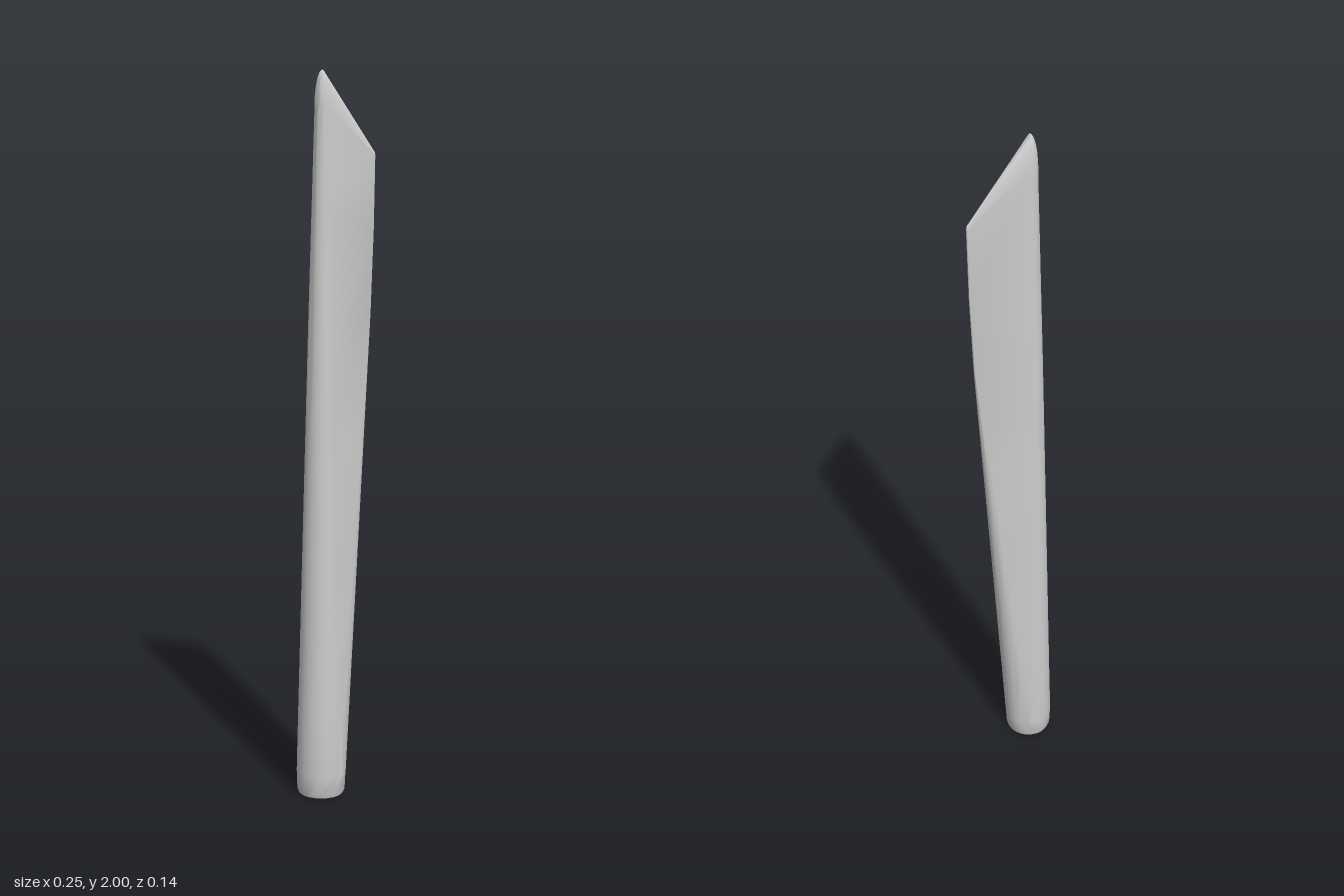
import * as THREE from 'three';
import { toCreasedNormals } from 'three/addons/utils/BufferGeometryUtils.js';

// Blade stations: nose height, radius, centre x; tail height, radius, outer edge x, z shift
const STATIONS = [
  [0, 0.063, -0.056, 0, 0.063, 0.007, 0],
  [0.01, 0.067, -0.056, 0.01, 0.067, 0.011, 0],
  [0.06, 0.069, -0.056, 0.06, 0.068, 0.014, 0],
  [1.35, 0.038, -0.049, 1.35, 0.005, 0.107, -0.006],
  [1.65, 0.03, -0.047, 1.58, 0.004, 0.118, -0.008],
  [1.89, 0.024, -0.045, 1.775, 0.004, 0.122, -0.008],
];
const ARC = 14; // steps in each half of a section
const RING = 2 * (ARC + 1);

// Teardrop section: a nose circle and a tail circle joined by their tangents
function section([yn, rn, cn, yt, rt, edge, zt]) {
  const ct = edge - rt;
  const d = Math.max(ct - cn, 1e-4);
  const phi = Math.acos(THREE.MathUtils.clamp((rn - rt) / d, 0, 0.95));
  const points = [];
  for (let i = 0; i <= ARC; i++) {
    const a = -phi + (2 * phi * i) / ARC;
    points.push([ct + rt * Math.cos(a), yt, zt - rt * Math.sin(a)]);
  }
  for (let i = 0; i <= ARC; i++) {
    const a = phi + (2 * (Math.PI - phi) * i) / ARC;
    points.push([cn + rn * Math.cos(a), yn, -0.001 - rn * Math.sin(a)]);
  }
  return points;
}

function bladeRows() {
  const rows = [];
  STATIONS.forEach((s, k) => {
    // Extra sections along the long tapered stretch
    const previous = STATIONS[k - 1];
    const steps = k === 3 ? 8 : 1;
    for (let j = 1; j < steps; j++) {
      rows.push(s.map((v, i) => THREE.MathUtils.lerp(previous[i], v, j / steps)));
    }
    rows.push(s);
  });
  // Rounded slanting tip, closing along a ridge from nose to tail
  const [yn, rn, cn, yt, rt, edge, zt] = STATIONS[STATIONS.length - 1];
  for (let j = 1; j <= 8; j++) {
    const a = (j / 8) * Math.PI / 2;
    const c = Math.max(Math.cos(a), 0.001);
    const s = Math.sin(a);
    rows.push([yn + 0.11 * s, rn * c, cn - 0.002 * s, yt + 0.015 * s, rt * c, edge - rt + rt * c, zt]);
  }
  return rows;
}

function bladeGeometry() {
  const rings = bladeRows().map(section);
  const positions = rings.flat(2);
  const index = [];
  for (let r = 0; r < rings.length - 1; r++) {
    for (let i = 0; i < RING; i++) {
      const a = r * RING + i;
      const b = r * RING + ((i + 1) % RING);
      index.push(a, b, b + RING, a, b + RING, a + RING);
    }
  }
  // Flat root cap
  const centre = positions.length / 3;
  positions.push(-0.056, 0, 0);
  for (let i = 0; i < RING; i++) index.push(centre, (i + 1) % RING, i);

  const geometry = new THREE.BufferGeometry();
  geometry.setAttribute('position', new THREE.Float32BufferAttribute(positions, 3));
  geometry.setIndex(index);
  return toCreasedNormals(geometry, 0.7);
}

export function createModel() {
  const group = new THREE.Group();
  group.name = 'turbineBlade';
  const blade = new THREE.Mesh(bladeGeometry(), new THREE.MeshStandardMaterial({ color: 0xcccccc }));
  blade.name = 'blade';
  group.add(blade);
  return group;
}
